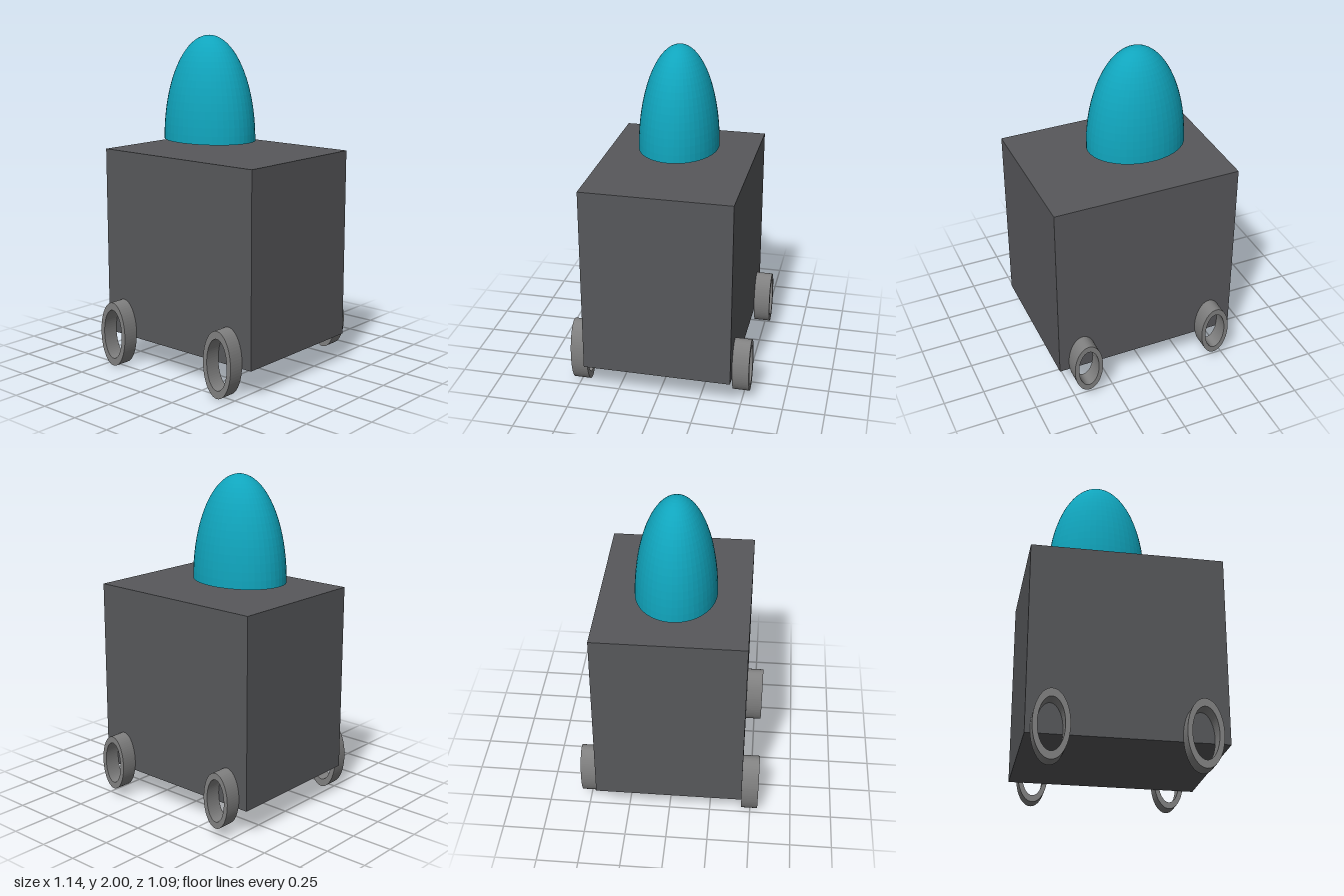
import * as THREE from 'three';

const bodyMat = new THREE.MeshStandardMaterial({ color: 0x57585b });
const wheelMat = new THREE.MeshStandardMaterial({ color: 0x808080, flatShading: true });
const domeMat = new THREE.MeshStandardMaterial({ color: 0x10a5bd, flatShading: true });

const BODY = { w: 1.14, h: 1.145, d: 0.89, bottom: 0.175 };
const WHEEL_DEPTH = 0.1;

function addMesh(parent, name, geometry, material) {
  const mesh = new THREE.Mesh(geometry, material);
  mesh.name = name;
  parent.add(mesh);
  return mesh;
}

// Hollow oval ring, extruded along z
function ovalRing(rx, ry, innerRx, innerRy) {
  const shape = new THREE.Shape().absellipse(0, 0, rx, ry, 0, Math.PI * 2);
  shape.holes.push(new THREE.Path().absellipse(0, 0, innerRx, innerRy, 0, Math.PI * 2));
  return new THREE.ExtrudeGeometry(shape, { depth: WHEEL_DEPTH, bevelEnabled: false, curveSegments: 32 });
}

export function createModel() {
  const model = new THREE.Group();
  model.name = 'wheeledBox';

  // Box body
  const body = addMesh(model, 'body', new THREE.BoxGeometry(BODY.w, BODY.h, BODY.d), bodyMat);
  body.position.y = BODY.bottom + BODY.h / 2;

  // Oval dome hovering just above the body, with a closed base
  const dome = new THREE.Group();
  dome.name = 'dome';
  dome.position.set(-0.12, 1.375, 0.01);
  dome.scale.set(0.3, 0.625, 0.24);
  addMesh(dome, 'domeShell', new THREE.SphereGeometry(1, 48, 20, 0, Math.PI * 2, 0, Math.PI / 2), domeMat);
  addMesh(dome, 'domeBase', new THREE.CircleGeometry(1, 48), domeMat).rotation.x = Math.PI / 2;
  model.add(dome);

  // Larger ring wheels in front, smaller ones at the back
  const frontRing = ovalRing(0.103, 0.2, 0.075, 0.153);
  const backRing = ovalRing(0.09, 0.17, 0.064, 0.13);
  const frontZ = BODY.d / 2;
  const backZ = -BODY.d / 2 - WHEEL_DEPTH;
  const wheels = [
    ['frontRightWheel', frontRing, -0.437, 0.2, frontZ],
    ['frontLeftWheel', frontRing, 0.403, 0.2, frontZ],
    ['backRightWheel', backRing, -0.424, 0.23, backZ],
    ['backLeftWheel', backRing, 0.42, 0.23, backZ],
  ];
  for (const [name, ring, x, y, z] of wheels) {
    addMesh(model, name, ring, wheelMat).position.set(x, y, z);
  }

  return model;
}
